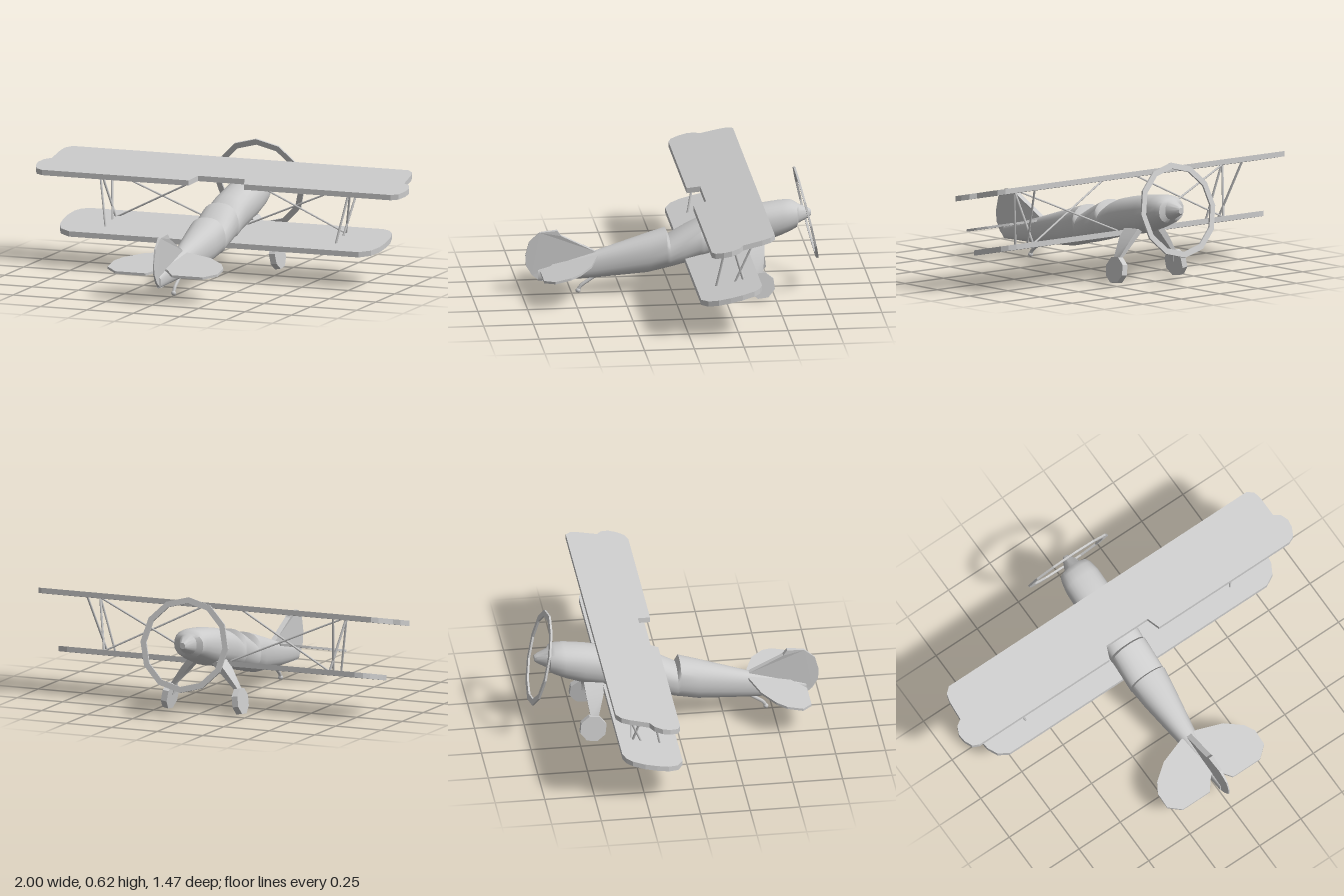
import * as THREE from 'three';
import { toCreasedNormals } from 'three/addons/utils/BufferGeometryUtils.js';

const grey = new THREE.MeshStandardMaterial({ color: 0xcccccc, side: THREE.DoubleSide });
const PITCH = 0.22; // rise per unit towards the nose

function add(parent, name, geometry) {
  const mesh = new THREE.Mesh(geometry, grey);
  mesh.name = name;
  parent.add(mesh);
  return mesh;
}

// Mirrored (x, z) outline, extruded upwards and sheared nose-up; y0 is the underside at z = 0
function plate(half, thickness, y0) {
  const mirrored = half.map(([x, z]) => [-x, z]).reverse();
  const shape = new THREE.Shape([...half, ...mirrored].map(([x, z]) => new THREE.Vector2(x, -z)));
  const g = new THREE.ExtrudeGeometry(shape, { depth: thickness, bevelEnabled: false });
  g.rotateX(-Math.PI / 2);
  const p = g.attributes.position;
  for (let i = 0; i < p.count; i++) p.setY(i, p.getY(i) + y0 - PITCH * p.getZ(i));
  g.computeVertexNormals();
  return g;
}

// Thin round rod between two points
function rod(parent, name, a, b, r) {
  const from = new THREE.Vector3(...a), to = new THREE.Vector3(...b);
  const dir = to.clone().sub(from);
  const mesh = add(parent, name, new THREE.CylinderGeometry(r, r, dir.length(), 6));
  mesh.position.copy(from).add(to).multiplyScalar(0.5);
  mesh.quaternion.setFromUnitVectors(new THREE.Vector3(0, 1, 0), dir.normalize());
}

// Skin over closed rings of points, with end caps
function loft(rings) {
  const n = rings[0].length, index = [];
  for (let s = 0; s < rings.length - 1; s++) {
    for (let i = 0; i < n; i++) {
      const a = s * n + i, b = s * n + (i + 1) % n;
      index.push(a, b, a + n, b, b + n, a + n);
    }
  }
  const last = (rings.length - 1) * n;
  for (let i = 1; i < n - 1; i++) index.push(0, i + 1, i, last, last + i, last + i + 1);
  const g = new THREE.BufferGeometry();
  g.setAttribute('position', new THREE.Float32BufferAttribute(rings.flat(2), 3));
  g.setIndex(index);
  return toCreasedNormals(g, 0.6);
}

// Fuselage ring: rounded-box section
function section([z, top, bottom, w]) {
  const ring = [], n = 24, e = 0.85;
  for (let i = 0; i < n; i++) {
    const a = (i / n) * Math.PI * 2, c = Math.cos(a), s = Math.sin(a);
    const x = w * Math.sign(c) * Math.abs(c) ** e;
    const y = (top + bottom) / 2 + ((top - bottom) / 2) * Math.sign(s) * Math.abs(s) ** e;
    ring.push([x, y, z]);
  }
  return ring;
}

export function createModel() {
  const model = new THREE.Group();
  model.name = 'biplane';

  // Fuselage: z, top, bottom, half width; the steps are the two cockpits
  const sections = [
    [-0.7, 0.4, 0.37, 0.014], [-0.685, 0.41, 0.358, 0.024], [-0.635, 0.43, 0.333, 0.048],
    [-0.625, 0.438, 0.316, 0.08], [-0.6, 0.45, 0.302, 0.09], [-0.55, 0.449, 0.28, 0.099],
    [-0.45, 0.437, 0.243, 0.1], [-0.33, 0.413, 0.218, 0.1], [-0.25, 0.393, 0.2, 0.1],
    [-0.2, 0.37, 0.187, 0.1], [-0.157, 0.34, 0.176, 0.1], [-0.139, 0.375, 0.17, 0.1],
    [-0.06, 0.335, 0.15, 0.1], [0.014, 0.292, 0.133, 0.1], [0.03, 0.328, 0.128, 0.099],
    [0.12, 0.302, 0.107, 0.088], [0.25, 0.262, 0.096, 0.068], [0.385, 0.22, 0.085, 0.047],
    [0.52, 0.18, 0.079, 0.029], [0.67, 0.135, 0.075, 0.012],
  ];
  add(model, 'fuselage', loft(sections.map(section)));

  // Wings and tailplane
  add(model, 'upperWing', plate([
    [0.125, -0.16], [0.15, -0.095], [0.94, -0.095], [0.975, -0.11], [0.995, -0.15], [1, -0.19],
    [0.982, -0.23], [0.95, -0.25], [0.945, -0.35], [0.935, -0.39], [0.905, -0.415],
  ], 0.027, 0.437), );
  add(model, 'lowerWing', plate([
    [0.78, -0.06], [0.835, -0.09], [0.862, -0.14], [0.87, -0.2], [0.87, -0.26],
    [0.855, -0.32], [0.83, -0.35], [0.79, -0.365],
  ], 0.027, 0.15));
  add(model, 'tailplane', plate([
    [0.018, 0.6], [0.07, 0.665], [0.235, 0.665], [0.295, 0.615], [0.295, 0.535],
    [0.265, 0.485], [0.18, 0.42], [0.045, 0.375],
  ], 0.012, 0.28));

  // Fin and rudder, tapering to the rear edge
  const finShape = new THREE.Shape([
    [0.38, 0.22], [0.553, 0.307], [0.573, 0.335], [0.66, 0.327], [0.714, 0.28], [0.733, 0.21],
    [0.73, 0.155], [0.7, 0.107], [0.66, 0.075], [0.45, 0.085],
  ].map(([z, y]) => new THREE.Vector2(-z, y)));
  const fin = new THREE.ExtrudeGeometry(finShape, { depth: 1, bevelEnabled: false });
  fin.translate(0, 0, -0.5).rotateY(Math.PI / 2);
  const fp = fin.attributes.position;
  for (let i = 0; i < fp.count; i++) {
    const back = Math.max(0, (fp.getZ(i) - 0.55) / 0.183);
    fp.setX(i, fp.getX(i) * (0.028 - 0.022 * back));
  }
  fin.computeVertexNormals();
  add(model, 'tailFin', fin);

  // Twelve-sided propeller ring, square to the pitched thrust line
  const ringShape = new THREE.Shape();
  const hole = new THREE.Path();
  for (let i = 0; i < 12; i++) {
    const a = (i / 12) * Math.PI * 2;
    ringShape[i ? 'lineTo' : 'moveTo'](0.24 * Math.cos(a), 0.24 * Math.sin(a));
    hole[i ? 'lineTo' : 'moveTo'](0.21 * Math.cos(a), 0.21 * Math.sin(a));
  }
  ringShape.holes.push(hole);
  const ring = new THREE.ExtrudeGeometry(ringShape, { depth: 0.01, bevelEnabled: false });
  ring.translate(0, 0, -0.005);
  const propeller = add(model, 'propellerRing', ring);
  propeller.position.set(0, 0.385, -0.675);
  propeller.rotation.x = 0.23;

  for (const s of [1, -1]) {
    const side = s > 0 ? 'left' : 'right';

    // Wing struts and bracing
    rod(model, side + 'FrontStrut', [s * 0.675, 0.525, -0.37], [s * 0.62, 0.22, -0.245], 0.006);
    rod(model, side + 'RearStrut', [s * 0.675, 0.488, -0.21], [s * 0.62, 0.205, -0.153], 0.006);
    rod(model, side + 'MiddleStrut', [s * 0.675, 0.49, -0.215], [s * 0.62, 0.235, -0.29], 0.006);
    rod(model, side + 'LandingBrace', [s * 0.1, 0.495, -0.22], [s * 0.62, 0.235, -0.295], 0.005);
    rod(model, side + 'FlyingBrace', [s * 0.67, 0.497, -0.235], [s * 0.06, 0.235, -0.305], 0.005);

    // Undercarriage leg: tapered blade from the belly to the hub
    const rings = [[0.06, 0.27, -0.36, -0.46, 0.022], [0.1, 0.225, -0.365, -0.455, 0.02],
      [0.175, 0.13, -0.4, -0.44, 0.012], [0.185, 0.075, -0.41, -0.435, 0.01]]
      .map(([x, y, back, front, t]) => {
        const r = [[x - t, y, back], [x + t, y, back], [x + t, y, front], [x - t, y, front]];
        return r.map(([px, py, pz]) => [s * px, py, pz]);
      });
    add(model, side + 'GearLeg', loft(s > 0 ? rings : rings.map(r => r.reverse())));

    // Cambered eight-sided wheel
    const wheel = add(model, side + 'Wheel',
      toCreasedNormals(new THREE.CylinderGeometry(0.069, 0.069, 0.032, 8).rotateY(Math.PI / 8).rotateZ(Math.PI / 2), 0.3));
    wheel.position.set(s * 0.193, 0.072, -0.43);
    wheel.rotation.z = s * 0.15;
    wheel.rotation.x = 0.12;
  }

  // Tail skid
  const skidPath = new THREE.CatmullRomCurve3([
    new THREE.Vector3(0, 0.1, 0.37), new THREE.Vector3(0, 0.07, 0.415),
    new THREE.Vector3(0, 0.042, 0.455), new THREE.Vector3(0, 0.02, 0.468),
  ]);
  add(model, 'tailSkid', new THREE.TubeGeometry(skidPath, 8, 0.009, 6));
  add(model, 'skidFoot', new THREE.SphereGeometry(0.013, 8, 6)).position.set(0, 0.018, 0.468);

  return model;
}
